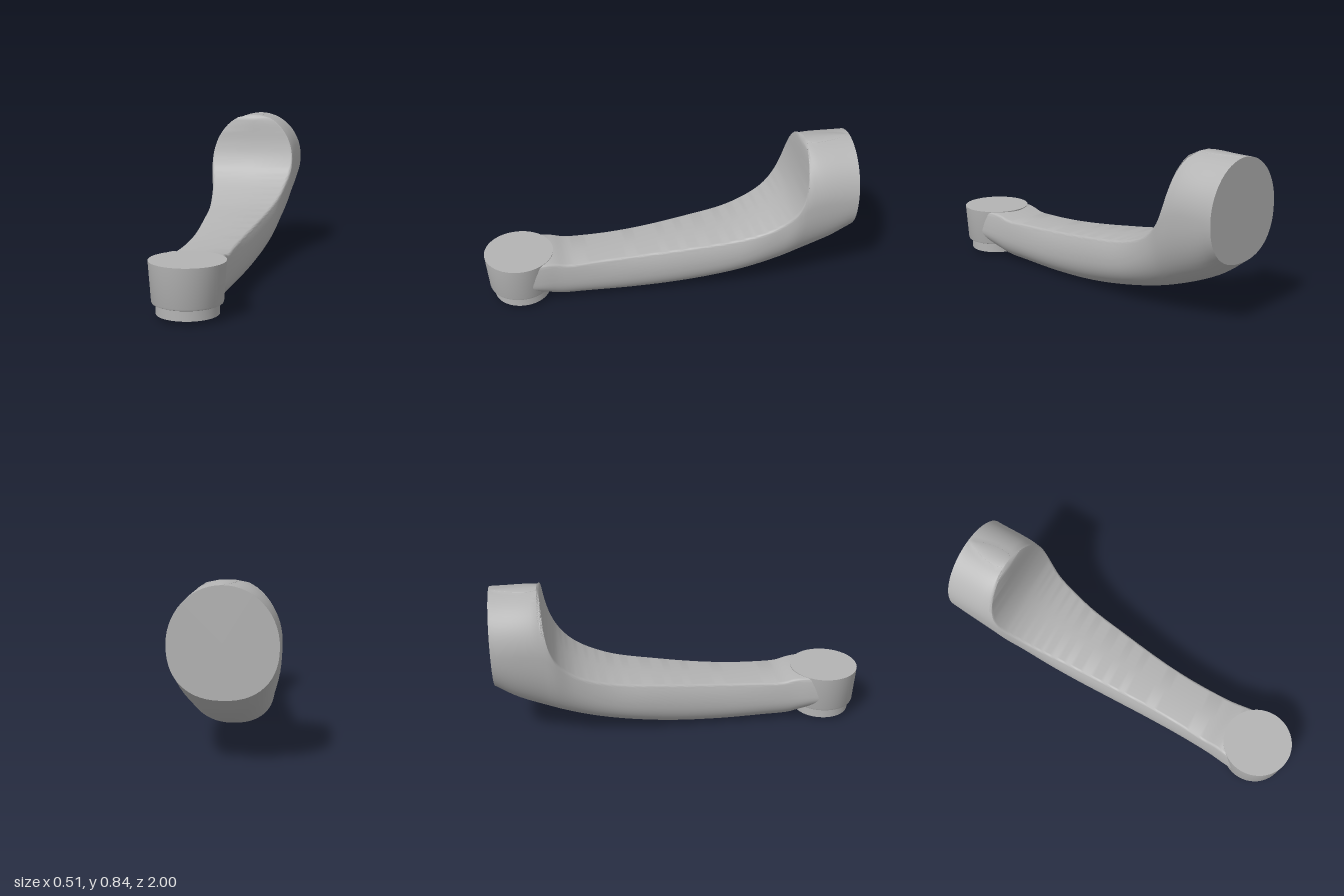
import * as THREE from 'three';
import { toCreasedNormals } from 'three/addons/utils/BufferGeometryUtils.js';

const spline = (pts) =>
  new THREE.CatmullRomCurve3(pts.map(([z, v]) => new THREE.Vector3(z, v, 0)), false, 'centripetal');

// Turns [z, value] pairs into a smooth function of z
function profile(pts) {
  const s = spline(pts).getPoints(300);
  return (z) => {
    if (z <= s[0].x) return s[0].y;
    for (let i = 1; i < s.length; i++) {
      if (z <= s[i].x) {
        const t = (z - s[i - 1].x) / (s[i].x - s[i - 1].x || 1);
        return s[i - 1].y + t * (s[i].y - s[i - 1].y);
      }
    }
    return s[s.length - 1].y;
  };
}

// Arm profiles along z: cut top, underside, widest height, half width, uncut crown
const topPts = [[-0.755, 0.84], [-0.744, 0.834], [-0.738, 0.81], [-0.722, 0.67], [-0.7, 0.58], [-0.66, 0.5],
  [-0.57, 0.415], [-0.4, 0.345], [-0.1, 0.298], [0.2, 0.268], [0.45, 0.256], [0.56, 0.257], [0.62, 0.272],
  [0.66, 0.277], [0.81, 0.277]];
const top = profile(topPts);
const under = profile([[-1, 0.32], [-0.9, 0.245], [-0.8, 0.195], [-0.6, 0.12], [-0.4, 0.07], [-0.1, 0.02],
  [0.2, 0.003], [0.45, 0.009], [0.6, 0.018], [0.66, 0.04], [0.74, 0.07], [0.81, 0.085]]);
const middle = profile([[-1, 0.57], [-0.74, 0.55], [-0.6, 0.38], [-0.4, 0.25], [-0.1, 0.19], [0.3, 0.15], [0.81, 0.16]]);
const half = profile([[-1, 0.255], [-0.74, 0.255], [-0.69, 0.25], [-0.6, 0.225], [-0.4, 0.2], [-0.2, 0.183],
  [0, 0.166], [0.2, 0.152], [0.4, 0.146], [0.6, 0.151], [0.7, 0.163], [0.81, 0.172]]);
const crown = profile([[-1, 0.84], [-0.74, 0.84], [-0.7, 0.83], [-0.6, 0.72], [-0.4, 0.5], [-0.1, 0.42], [0.3, 0.38], [0.81, 0.5]]);

// Cross-section: rounded belly, bulged sides, flat top with softened corners
function section(z) {
  const u = crown(z), t = Math.min(top(z), u), b = under(z), c = middle(z), w = half(z);
  const r = Math.min(0.016, u - t), p = 2 / 2.3, side = [];
  for (let i = 0; i < 14; i++) {
    const a = (1 - i / 14) * Math.PI / 2;
    side.push([i ? w * Math.cos(a) ** p : 0, c - (c - b) * Math.sin(a) ** p]);
  }
  const end = Math.asin(Math.min(1, (t - r - c) / (u - c)));
  for (let i = 0; i <= 14; i++) {
    const a = end * i / 14;
    side.push([w * Math.cos(a), c + (u - c) * Math.sin(a)]);
  }
  const x0 = w * Math.cos(end);
  for (let i = 1; i <= 4; i++) {
    const a = i * Math.PI / 8;
    side.push([x0 - r + r * Math.cos(a), t - r + r * Math.sin(a)]);
  }
  side.push([0, t]);
  const mirrored = side.slice(1, -1).reverse().map(([x, y]) => [-x, y]);
  return [...side, ...mirrored];
}

function armGeometry() {
  const stations = [];
  for (let i = 0; i < 8; i++) stations.push(-1 + 0.245 * i / 8);
  spline(topPts).getSpacedPoints(90).forEach((p) => stations.push(p.x));
  const pos = [], idx = [];
  let n = 0;
  stations.forEach((z) => {
    const ring = section(z);
    n = ring.length;
    ring.forEach(([x, y]) => pos.push(x, y, z));
  });
  for (let i = 0; i < stations.length - 1; i++) {
    for (let j = 0; j < n; j++) {
      const k = (j + 1) % n, a = i * n, d = a + n;
      idx.push(a + j, a + k, d + k, a + j, d + k, d + j);
    }
  }
  // Flat back face
  const centre = pos.length / 3;
  pos.push(0, 0.58, -1);
  for (let j = 0; j < n; j++) idx.push(centre, (j + 1) % n, j);
  const g = new THREE.BufferGeometry();
  g.setAttribute('position', new THREE.Float32BufferAttribute(pos, 3));
  g.setIndex(idx);
  return toCreasedNormals(g, 0.7);
}

function turned(points) {
  const g = new THREE.LatheGeometry(points.map(([x, y]) => new THREE.Vector2(x, y)), 48);
  return toCreasedNormals(g, 0.7);
}

export function createModel() {
  const group = new THREE.Group();
  const grey = new THREE.MeshStandardMaterial({ color: 0xb4b4b4 });
  grey.name = 'plain grey';
  const add = (name, geometry, z = 0) => {
    const mesh = new THREE.Mesh(geometry, grey);
    mesh.name = name;
    mesh.position.z = z;
    group.add(mesh);
  };
  // Curved arm with its upright oval end
  add('arm', armGeometry());
  // Tapered round head and the short pin beneath it
  add('head', turned([[0, 0.075], [0.163, 0.075], [0.17, 0.078], [0.173, 0.086], [0.187, 0.28], [0, 0.28]]), 0.813);
  add('pin', turned([[0, 0.022], [0.153, 0.022], [0.153, 0.1]]), 0.81);
  return group;
}
